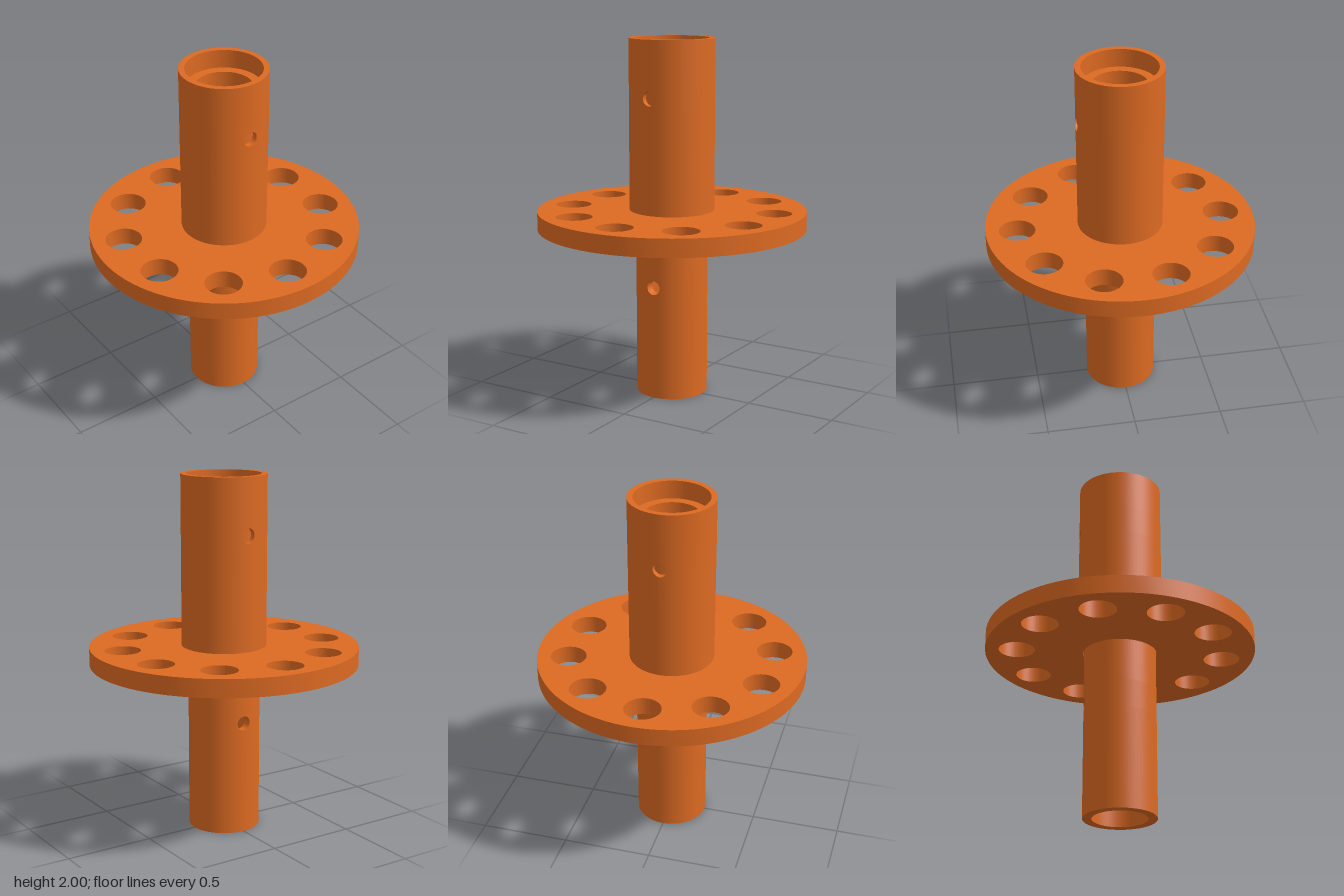
import * as THREE from 'three';
import { mergeGeometries, toCreasedNormals } from 'three/addons/utils/BufferGeometryUtils.js';
import { ParametricGeometry } from 'three/addons/geometries/ParametricGeometry.js';

const SEGMENTS = 64;
const PIN_RADIUS = 0.04;
const PATCH_ANGLE = Math.PI / 8; // half width of the wall patch around a pin hole
const PATCH_HEIGHT = 0.08; // half height of that patch

// Open cylinder wall between two heights, optionally only an arc of it
function wall(r, y0, y1, start = 0, arc = Math.PI * 2) {
  const segments = Math.round((SEGMENTS * arc) / (Math.PI * 2));
  return new THREE.CylinderGeometry(r, r, y1 - y0, segments, 1, true, start, arc)
    .translate(0, (y0 + y1) / 2, 0);
}

// Point on the rim of a pin hole drilled along z through a cylinder of radius r
function rim(t, r, y) {
  return { angle: Math.asin((PIN_RADIUS * Math.cos(t)) / r), y: y + PIN_RADIUS * Math.sin(t) };
}

function onCylinder(target, r, angle, y) {
  target.set(r * Math.sin(angle), y, r * Math.cos(angle));
}

// Curved patch of wall: rectangular outside, round hole inside
function holePatch(r, y) {
  const edge = (s) => THREE.MathUtils.clamp((Math.asin(s) * 4) / Math.PI, -1, 1);
  return new ParametricGeometry((u, v, target) => {
    const t = u * Math.PI * 2;
    const hole = rim(t, r, y);
    const angle = THREE.MathUtils.lerp(PATCH_ANGLE * edge(Math.cos(t)), hole.angle, v);
    const height = THREE.MathUtils.lerp(y + PATCH_HEIGHT * edge(Math.sin(t)), hole.y, v);
    onCylinder(target, r, angle, height);
  }, 32, 4);
}

// Side of the pin hole, running through the thickness of the wall
function holeBore(rIn, rOut, y) {
  return new ParametricGeometry((u, v, target) => {
    const r = THREE.MathUtils.lerp(rIn, rOut, v);
    const p = rim(u * Math.PI * 2, r, y);
    onCylinder(target, r, p.angle, p.y);
  }, 32, 1);
}

// Flat annular tube end, facing up or down
function endRing(rIn, rOut, y, up) {
  return new THREE.RingGeometry(rIn, rOut, SEGMENTS)
    .rotateX(up ? -Math.PI / 2 : Math.PI / 2)
    .translate(0, y, 0);
}

// Hollow tube with a pin hole through its front and back walls
function drilledTube(rIn, rOut, y0, y1, holeY) {
  const parts = [endRing(rIn, rOut, y0, false), endRing(rIn, rOut, y1, true)];
  for (const r of [rIn, rOut]) {
    parts.push(wall(r, y0, holeY - PATCH_HEIGHT), wall(r, holeY + PATCH_HEIGHT, y1));
    for (const turn of [0, Math.PI]) {
      parts.push(wall(r, holeY - PATCH_HEIGHT, holeY + PATCH_HEIGHT,
        turn + PATCH_ANGLE, Math.PI - 2 * PATCH_ANGLE));
      parts.push(holePatch(r, holeY).rotateY(turn));
    }
  }
  for (const turn of [0, Math.PI]) parts.push(holeBore(rIn, rOut, holeY).rotateY(turn));
  return mergeGeometries(parts);
}

// Round plate with a centre bore and a circle of ten holes
function flangePlate(radius, bore, thickness) {
  const circle = (Type, x, y, r) => new Type().absarc(x, y, r, 0, Math.PI * 2, false);
  const shape = circle(THREE.Shape, 0, 0, radius);
  shape.holes.push(circle(THREE.Path, 0, 0, bore));
  for (let i = 0; i < 10; i++) {
    const a = Math.PI / 2 + (i * Math.PI) / 5;
    shape.holes.push(circle(THREE.Path, 0.575 * Math.cos(a), 0.575 * Math.sin(a), 0.1));
  }
  const plate = new THREE.ExtrudeGeometry(shape, {
    depth: thickness, bevelEnabled: false, curveSegments: SEGMENTS,
  });
  return toCreasedNormals(plate.rotateX(-Math.PI / 2), 0.5);
}

export function createModel() {
  const model = new THREE.Group();
  model.name = 'flangedTubeCoupling';
  const material = new THREE.MeshStandardMaterial({ color: 0xdd6a22, side: THREE.DoubleSide });

  const add = (name, geometry) => {
    const mesh = new THREE.Mesh(geometry, material);
    mesh.name = name;
    model.add(mesh);
    return mesh;
  };

  // Long inner tube, ending just below the sleeve's top
  add('innerTube', drilledTube(0.15, 0.2, 0, 1.9, 0.637));
  // Wider sleeve standing on the flange, with a slim clearance to the tube
  add('outerSleeve', drilledTube(0.205, 0.2365, 1.05, 2, 1.687));
  add('flange', flangePlate(0.75, 0.205, 0.1)).position.y = 0.95;

  return model;
}
